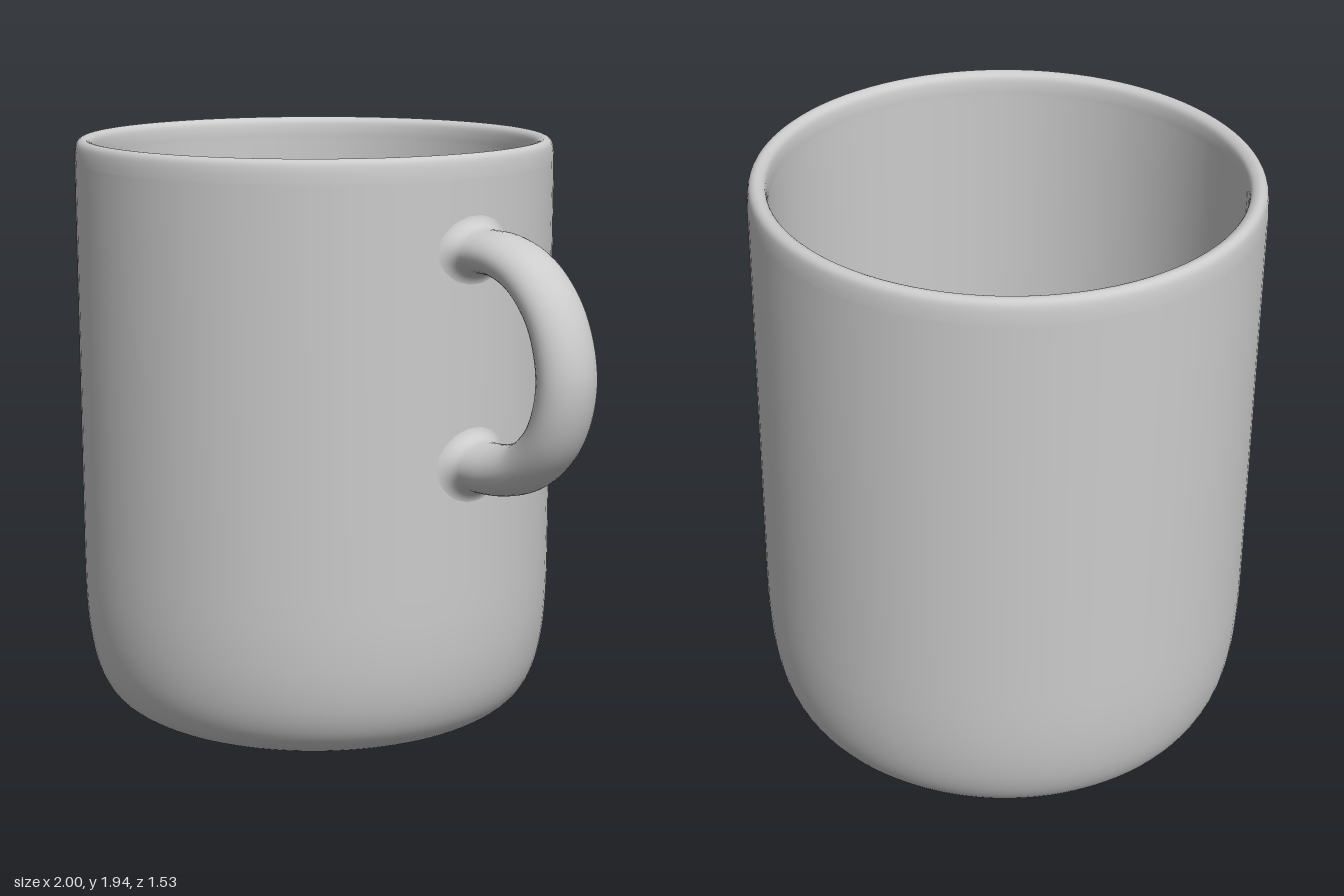
import * as THREE from 'three';

const CX = -0.235; // axis of the cup
const R = 0.765; // outer radius
const material = new THREE.MeshStandardMaterial({ color: 0xcccccc, side: THREE.DoubleSide });
const v2 = ([x, y]) => new THREE.Vector2(x, y);

// Smooth run of profile points
const smooth = (pts, n) => new THREE.SplineCurve(pts.map(v2)).getPoints(n);

// Foot, rounded outer wall, rolled rim, then the hollow inside down to its floor
function createCup() {
  const foot = [[0, 0], [0.3, 0.001], [0.385, 0.003]].map(v2);
  const base = smooth([[0.4, 0.008], [0.42, 0.02], [0.432, 0.032], [0.465, 0.044], [0.55, 0.06], [0.63, 0.09],
    [0.69, 0.14], [0.73, 0.22], [0.753, 0.33], [0.763, 0.46], [R, 0.6]], 40);
  const rim = smooth([[R, 1.86], [0.763, 1.895], [0.757, 1.923], [0.742, 1.935], [0.725, 1.933],
    [0.71, 1.92], [0.705, 1.89], [0.705, 1.86]], 24);
  const bowl = new THREE.CubicBezierCurve(...[[0.705, 0.55], [0.705, 0.25], [0.62, 0.115], [0.4, 0.1]].map(v2)).getPoints(20);
  const profile = [...foot, ...base, ...rim, ...bowl, v2([0.38, 0.1]), v2([0, 0.1])];
  const cup = new THREE.Mesh(new THREE.LatheGeometry(profile, 96), material);
  cup.name = 'cup';
  cup.position.x = CX;
  return cup;
}

// Oval section swept along a D-shaped curve, its ends flaring onto the wall
function createHandle() {
  const path = new THREE.CatmullRomCurve3([[0.6, 1.65], [0.66, 1.645], [0.77, 1.6], [0.875, 1.485], [0.922, 1.31],
    [0.882, 1.145], [0.78, 1.038], [0.67, 1.0], [0.6, 0.993]].map(([x, y]) => new THREE.Vector3(x, y, 0)));
  const sides = 32, steps = 48, flare = 8, fillet = 0.05;
  const wallX = z => CX + Math.sqrt(R * R - z * z);
  const rings = [];

  const addFlare = (atStart, k) => {
    const a = (k / flare) * Math.PI / 2;
    rings.push({
      c: path.getPoint(atStart ? 0 : 1), n: new THREE.Vector3(0, atStart ? 1 : -1, 0),
      half: atStart ? 0.066 : 0.078, grow: fillet * (1 - Math.cos(a)), gap: fillet * (1 - Math.sin(a)) - 0.002
    });
  };
  for (let k = flare; k >= 0; k--) addFlare(true, k);
  for (let i = 0; i <= steps; i++) {
    const t = i / steps, d = path.getTangentAt(t);
    rings.push({ c: path.getPointAt(t), n: new THREE.Vector3(-d.y, d.x, 0), half: 0.066 + 0.012 * Math.min(1, t * 2), grow: 0 });
  }
  for (let k = 0; k <= flare; k++) addFlare(false, k);

  const positions = [], index = [];
  rings.forEach(({ c, n, half, grow, gap }, i) => {
    for (let j = 0; j < sides; j++) {
      const a = (j / sides) * Math.PI * 2;
      const u = Math.cos(a) * (half + grow), z = Math.sin(a) * (0.1 + grow);
      positions.push(gap === undefined ? c.x + n.x * u : wallX(z) + gap, c.y + n.y * u, z);
      if (i === rings.length - 1) continue;
      const p = i * sides + j, q = i * sides + (j + 1) % sides;
      index.push(p, q, p + sides, q, q + sides, p + sides);
    }
  });
  const geometry = new THREE.BufferGeometry();
  geometry.setAttribute('position', new THREE.Float32BufferAttribute(positions, 3));
  geometry.setIndex(index);
  geometry.computeVertexNormals();
  const handle = new THREE.Mesh(geometry, material);
  handle.name = 'handle';
  return handle;
}

export function createModel() {
  const mug = new THREE.Group();
  mug.name = 'mug';
  mug.add(createCup(), createHandle());
  return mug;
}
